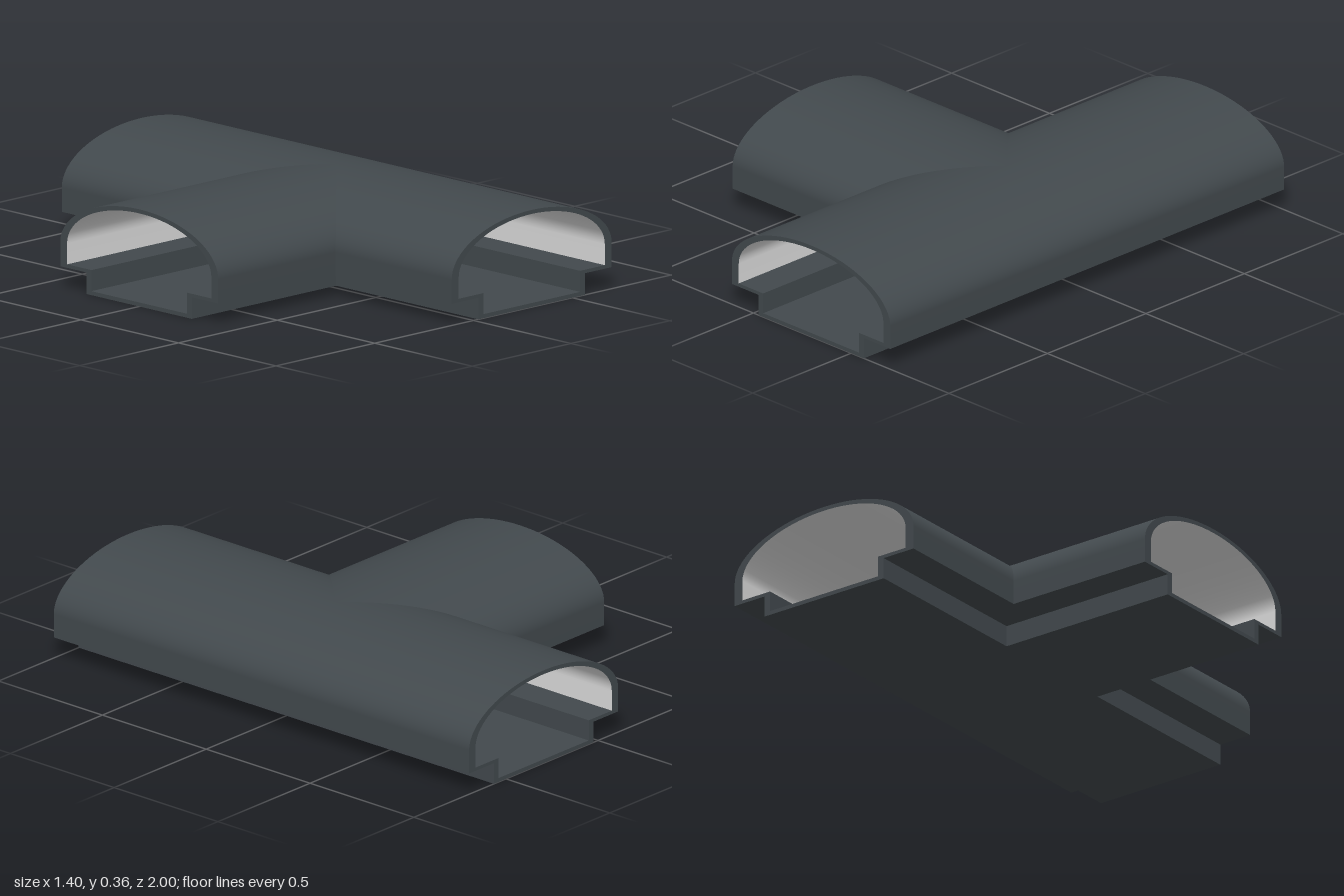
import * as THREE from 'three';
import { mergeGeometries } from 'three/addons/utils/BufferGeometryUtils.js';

const ARM = 1;           // length of each arm from the junction centre
const CENTRE_X = 0.295;  // junction centre

const mat = (name, color) => {
  const m = new THREE.MeshStandardMaterial({ color });
  m.name = name;
  return m;
};

// Half-arch from the wall foot up to the crown, as [sideways, height] points
function arch(a, b, foot, steps = 20) {
  const pts = [[a, foot]];
  for (let i = 0; i <= steps; i++) {
    const t = (i / steps) * Math.PI / 2;
    pts.push([i === steps ? 0 : a * Math.cos(t), 0.17 + b * Math.sin(t)]);
  }
  return pts;
}

// Half-sections; the surface faces the right-hand side of the direction of travel
const outerArch = arch(0.405, 0.19, 0.08);
const innerArch = arch(0.37, 0.175, 0.093).reverse();
const outerBase = [[0, 0], [0.27, 0], [0.27, 0.08], [0.405, 0.08]];
const innerBase = [[0.37, 0.093], [0.245, 0.093], [0.245, 0.015], [0, 0.015]];

// Half-arms: side direction, run direction, and whether the start is mitred
const X = new THREE.Vector3(1, 0, 0), Y = new THREE.Vector3(0, 1, 0), Z = new THREE.Vector3(0, 0, 1);
const neg = (v) => v.clone().negate();
const runs = [
  [X, Z, 0], [X, neg(Z), 0],
  [neg(X), Z, 1], [neg(X), neg(Z), 1],
  [Z, neg(X), 1], [neg(Z), neg(X), 1],
];

// Sweep one smooth strip of the half-section along one half-arm
function sweep(profile, [side, along, mitre]) {
  const pos = [], nor = [], index = [];
  const positive = side.clone().cross(Y).dot(along) > 0;
  const last = profile.length - 1;
  profile.forEach(([u, v], i) => {
    const p = profile[Math.max(i - 1, 0)], q = profile[Math.min(i + 1, last)];
    const nu = u === 0 ? 0 : q[1] - p[1];
    const n = side.clone().multiplyScalar(nu).addScaledVector(Y, p[0] - q[0]).normalize();
    for (const d of [mitre * u, ARM]) {
      const w = side.clone().multiplyScalar(u).addScaledVector(Y, v).addScaledVector(along, d);
      pos.push(w.x, w.y, w.z);
      nor.push(n.x, n.y, n.z);
    }
    if (i < last) {
      const a = 2 * i, d = a + 1, b = a + 2, c = a + 3;
      index.push(...(positive ? [a, b, c, a, c, d] : [a, c, b, a, d, c]));
    }
  });
  const g = new THREE.BufferGeometry();
  g.setAttribute('position', new THREE.Float32BufferAttribute(pos, 3));
  g.setAttribute('normal', new THREE.Float32BufferAttribute(nor, 3));
  g.setIndex(index);
  return g;
}

// Smooth sections are swept whole, cornered ones segment by segment
const smooth = (profile) => mergeGeometries(runs.map((r) => sweep(profile, r)));
const cornered = (profile) => mergeGeometries(
  runs.flatMap((r) => profile.slice(1).map((p, i) => sweep([profile[i], p], r))));

// Closed full-section loop from a half-section
function loop(half) {
  const mirrored = half.map(([u, v]) => [-u, v]).reverse();
  return [...half, ...mirrored.slice(1, -1)].map(([u, v]) => new THREE.Vector2(u, v));
}

export function createModel() {
  const group = new THREE.Group();
  group.name = 'ductTee';
  const dark = mat('anthracite', 0x42494d);
  const light = mat('light grey lining', 0xdcdcdc);

  const junction = new THREE.Group();
  junction.name = 'teeJunction';
  junction.position.x = CENTRE_X;
  group.add(junction);

  const add = (name, geometry, material) => {
    const m = new THREE.Mesh(geometry, material);
    m.name = name;
    junction.add(m);
    return m;
  };

  add('outerCover', smooth(outerArch), dark);
  add('steppedBase', cornered(outerBase), dark);
  add('innerLining', smooth(innerArch), light);
  add('innerChannel', cornered(innerBase), dark);

  // Wall-thickness rims at the three open ends
  const rim = new THREE.Shape(loop([...outerBase, ...outerArch.slice(1)]));
  rim.holes.push(new THREE.Path(loop([...innerArch, ...innerBase.slice(1)])));
  const rimGeometry = new THREE.ShapeGeometry(rim);
  [['frontRim', 0], ['backRim', Math.PI], ['branchRim', -Math.PI / 2]].forEach(([name, turn]) => {
    const m = add(name, rimGeometry, dark);
    m.rotation.y = turn;
    m.position.set(Math.sin(turn) * ARM, 0, Math.cos(turn) * ARM);
  });

  return group;
}
